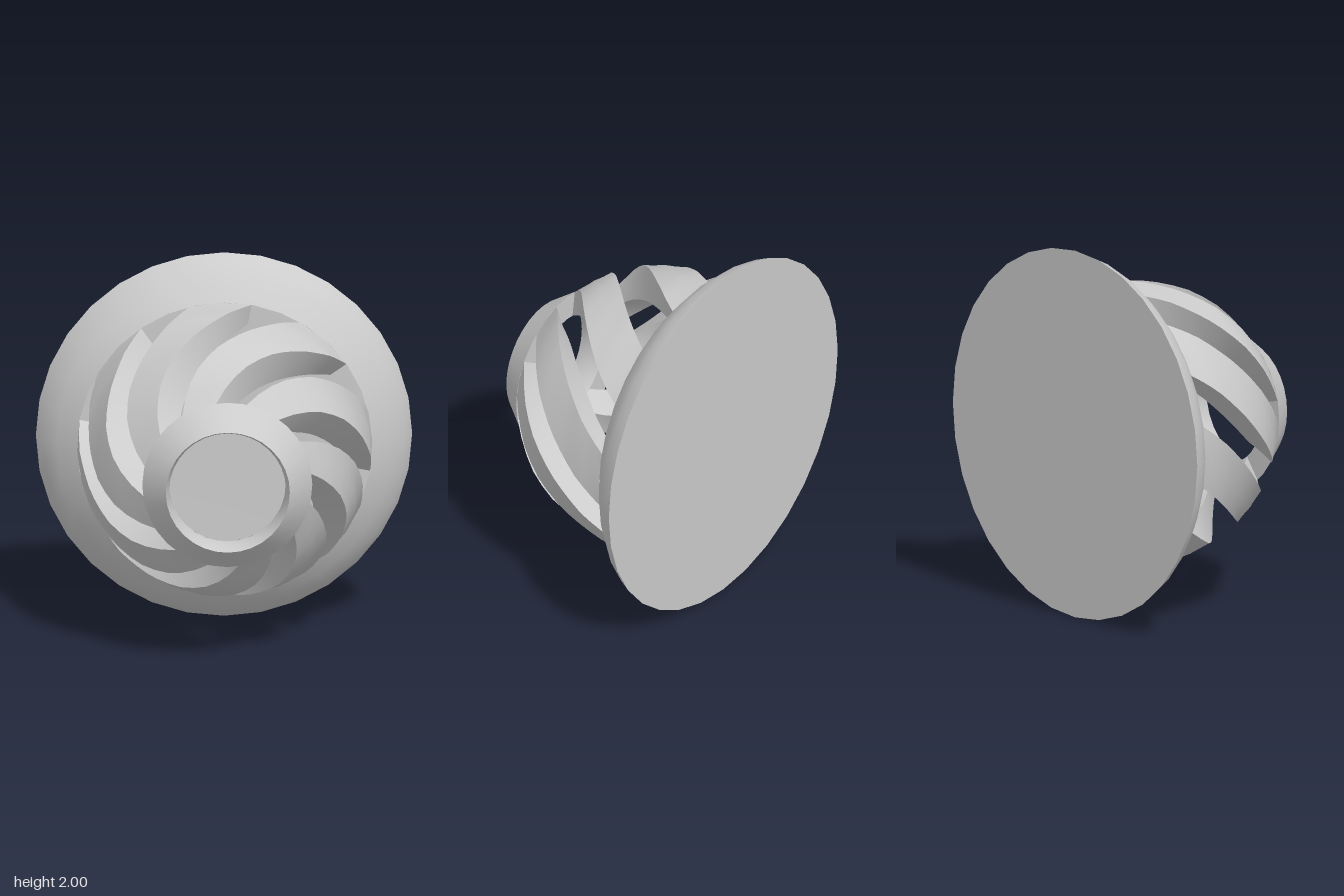
import * as THREE from 'three';
import { toCreasedNormals } from 'three/addons/utils/BufferGeometryUtils.js';

const RIBS = 8;
const RAD = Math.PI / 180;
const Z0 = -0.37, Z1 = 0.44;      // rib span along the axis
const TWIST = 63 * RAD;           // turn from front to back
const WIDTH = 24.5 * RAD;         // angular width of a rib

// Shell radii at stations along the axis: [z, outer, inner]
const SHELL = [
  [-0.37, 0.785, 0.68], [-0.2, 0.775, 0.63], [0, 0.735, 0.555],
  [0.14, 0.69, 0.495], [0.25, 0.63, 0.435], [0.35, 0.545, 0.375], [0.44, 0.45, 0.31],
];

function shellRadius(z, column) {
  let i = 0;
  while (i < SHELL.length - 2 && z > SHELL[i + 1][0]) i++;
  const a = SHELL[i], b = SHELL[i + 1];
  return THREE.MathUtils.lerp(a[column], b[column], (z - a[0]) / (b[0] - a[0]));
}

// Turned part whose axis points to the front; points are [radius, z]
function turned(points) {
  const geo = new THREE.LatheGeometry(points.map(([r, z]) => new THREE.Vector2(r, z)), 32);
  geo.rotateX(Math.PI / 2);
  return toCreasedNormals(geo, 0.5);
}

// One twisted rib, swept through rings of six corners; it turns faster near the front
function ribGeometry() {
  const steps = 14, corners = 6, pos = [], index = [];
  for (let i = 0; i <= steps; i++) {
    const t = i / steps, z = Z0 + (Z1 - Z0) * t;
    const start = -10.5 * RAD + TWIST * (t - 0.4 * t * (1 - t));
    for (let k = 0; k < corners; k++) {
      const outer = k < 3;
      const angle = start + WIDTH * (outer ? k : 5 - k) / 2;
      const r = shellRadius(z, outer ? 1 : 2);
      pos.push(r * Math.cos(angle), r * Math.sin(angle), z);
    }
  }
  for (let i = 0; i < steps; i++) {
    for (let k = 0; k < corners; k++) {
      const a = i * corners + k, b = i * corners + (k + 1) % corners;
      index.push(a, b, b + corners, a, b + corners, a + corners);
    }
  }
  const geo = new THREE.BufferGeometry();
  geo.setAttribute('position', new THREE.Float32BufferAttribute(pos, 3));
  geo.setIndex(index);
  return toCreasedNormals(geo, 0.6);
}

export function createModel() {
  const model = new THREE.Group();
  model.name = 'slottedDome';
  const material = new THREE.MeshStandardMaterial({ color: 0xcccccc, side: THREE.DoubleSide });
  const add = (name, geo) => {
    const mesh = new THREE.Mesh(geo, material);
    mesh.name = name;
    mesh.position.y = 1;
    model.add(mesh);
    return mesh;
  };

  // Flared base with a flat back and a shallow dished floor
  add('flaredBase', turned([
    [0, -0.6], [1, -0.6], [0.965, -0.53], [0.89, -0.45], [0.785, -0.37], [0.68, -0.37], [0, -0.41],
  ]));

  // Tapered ring with a sharp lip around the front opening
  add('frontRing', turned([
    [0.452, 0.44], [0.33, 0.6], [0.31, 0.54], [0.31, 0.44], [0.452, 0.44],
  ]));

  // Twisted ribs joining base and ring
  const rib = ribGeometry();
  for (let i = 0; i < RIBS; i++) {
    add('twistedRib' + (i + 1), rib).rotation.z = (i * 2 * Math.PI) / RIBS;
  }
  return model;
}
